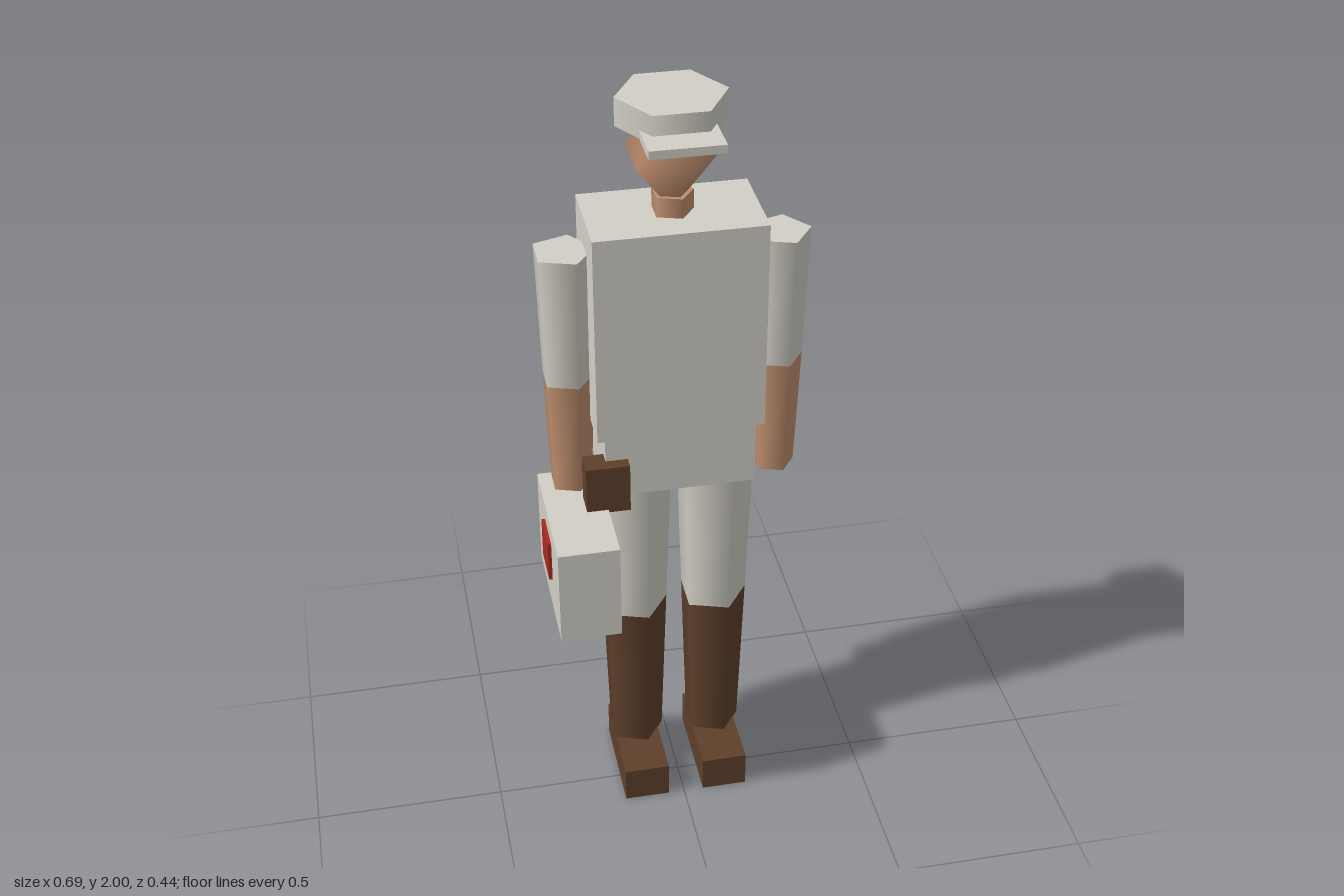
import * as THREE from 'three';

const material = (name, color) => {
  const m = new THREE.MeshStandardMaterial({ color });
  m.name = name;
  return m;
};

export function createModel() {
  const cloth = material('pale cloth', 0xd2cfc5);
  const skin = material('skin', 0xc08f6e);
  const leather = material('brown leather', 0x5e402b);
  const olive = material('olive green', 0x556039);
  const red = material('red', 0xa82a20);

  const CX = 0.005, CZ = -0.094; // axis of the body
  const model = new THREE.Group();
  model.name = 'standingFigure';

  const add = (name, geometry, mat) => {
    const mesh = new THREE.Mesh(geometry, mat);
    mesh.name = name;
    model.add(mesh);
    return mesh;
  };

  // Box given by its lower and upper limits on each axis
  const box = (name, mat, [x0, x1], [y0, y1], [z0, z1]) =>
    add(name, new THREE.BoxGeometry(x1 - x0, y1 - y0, z1 - z0), mat)
      .position.set((x0 + x1) / 2, (y0 + y1) / 2, (z0 + z1) / 2);

  // Upright tapered prism with one corner towards +x
  const prism = (name, mat, x, z, y0, y1, r0, r1, sides = 5) =>
    add(name, new THREE.CylinderGeometry(r1, r0, y1 - y0, sides, 1, false, Math.PI / 2), mat)
      .position.set(x, (y0 + y1) / 2, z);

  // Trunk
  box('torso', cloth, [-0.205, 0.214], [1.152, 1.705], [-0.215, 0.028]);
  box('hips', cloth, [-0.185, 0.195], [0.98, 1.152], [-0.207, 0.018]);

  // Neck and head
  prism('neck', skin, CX, CZ, 1.7, 1.755, 0.053, 0.053);
  const head = add('head', new THREE.SphereGeometry(0.12, 5, 2, Math.PI), skin);
  head.scale.y = 1.2;
  head.position.set(CX, 1.85, CZ);

  // Cap
  prism('capCrown', cloth, CX, CZ, 1.93, 2, 0.133, 0.133, 6);
  box('capBrim', cloth, [-0.084, 0.094], [1.93, 1.951], [-0.013, 0.094]);

  // Arms and legs
  for (const [side, s] of [['left', 1], ['right', -1]]) {
    const armX = CX + s * 0.263, legX = CX + s * 0.108;
    prism(side + 'Sleeve', cloth, armX, CZ, 1.275, 1.625, 0.067, 0.078);
    prism(side + 'Forearm', skin, armX, CZ, 0.955, 1.275, 0.055, 0.067);
    prism(side + 'Trouser', cloth, legX, CZ, 0.55, 0.98, 0.091, 0.105);
    prism(side + 'BootShaft', leather, legX, CZ, 0.095, 0.55, 0.076, 0.091);
    box(side + 'BootFoot', leather, [legX - 0.06, legX + 0.06], [0, 0.1], [-0.19, 0.094]);
  }

  // Carried gear
  box('beltPouch', leather, [-0.239, -0.129], [0.955, 1.088], [-0.015, 0.05]);
  prism('canteen', olive, 0.217, -0.161, 0.955, 1.107, 0.06, 0.06);
  box('carryCase', cloth, [-0.338, -0.185], [0.7, 0.963], [-0.138, 0.217]);
  box('caseMarking', red, [-0.347, -0.338], [0.8, 0.91], [-0.015, 0.093]);

  return model;
}
